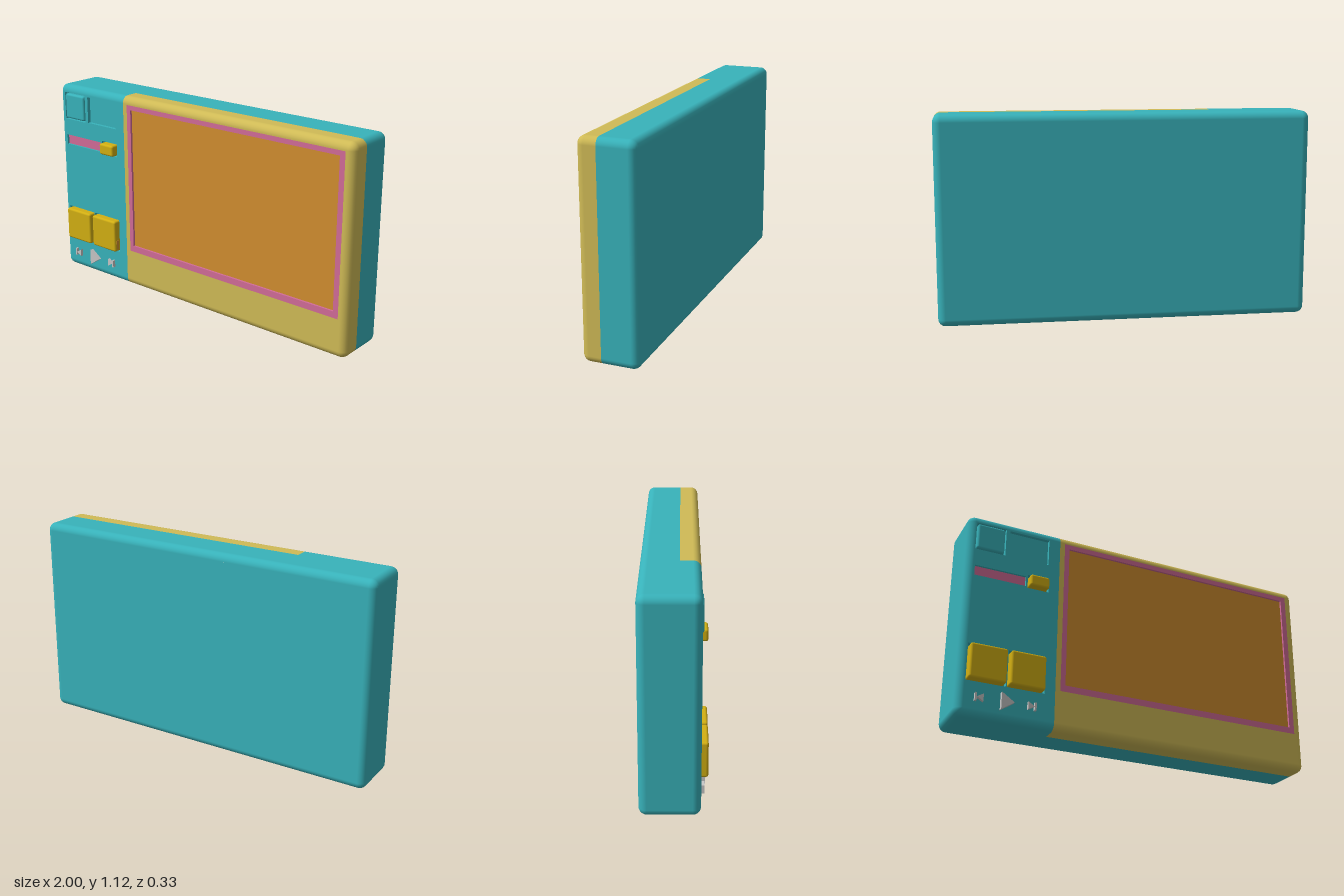
import * as THREE from 'three';
import { RoundedBoxGeometry } from 'three/addons/geometries/RoundedBoxGeometry.js';

const mat = (name, color) => {
  const m = new THREE.MeshStandardMaterial({ color });
  m.name = name;
  return m;
};

// Main dimensions
const W = 1, H = 1.12, BACK = -0.165, FRONT = 0.135, R = 0.04;
const SPLIT_X = -0.49, SPLIT_Z = 0.03;

// Rounded case shell without its front face; group 0 = case, group 1 = front panel
function shellGeometry() {
  const N = 6, ring = [];
  const corner = (x, y, start) => {
    for (let i = 0; i <= N; i++) ring.push([x, y, start + (i / N) * Math.PI / 2]);
  };
  const xr = W - R, yt = H - R, q = Math.PI / 2;
  corner(xr, yt, 0);
  ring.push([SPLIT_X, yt, q]);
  corner(-xr, yt, q);
  corner(-xr, R, 2 * q);
  ring.push([SPLIT_X, R, 3 * q]);
  corner(xr, R, 3 * q);

  const rows = [];
  for (let i = 0; i <= N; i++) rows.push([BACK + R, (i / N - 1) * q]);
  rows.push([SPLIT_Z, 0]);
  for (let i = 0; i <= N; i++) rows.push([FRONT - R, (i / N) * q]);

  const pos = [], nor = [], parts = [[], []], n = ring.length;
  for (const [z, phi] of rows) {
    for (const [x, y, t] of ring) {
      const v = [Math.cos(t) * Math.cos(phi), Math.sin(t) * Math.cos(phi), Math.sin(phi)];
      nor.push(...v);
      pos.push(x + R * v[0], y + R * v[1], z + R * v[2]);
    }
  }
  for (let j = 0; j < rows.length - 1; j++) {
    for (let i = 0; i < n; i++) {
      const k = (i + 1) % n, a = j * n + i, b = j * n + k;
      const onPanel = j > N && (ring[i][0] + ring[k][0]) / 2 > SPLIT_X;
      parts[onPanel ? 1 : 0].push(a, b, b + n, a, b + n, a + n);
    }
  }
  const g = new THREE.BufferGeometry();
  g.setAttribute('position', new THREE.Float32BufferAttribute(pos, 3));
  g.setAttribute('normal', new THREE.Float32BufferAttribute(nor, 3));
  g.setIndex([...parts[0], ...parts[1]]);
  g.addGroup(0, parts[0].length, 0);
  g.addGroup(parts[0].length, parts[1].length, 1);
  return g;
}

// Rectangles are [x0, x1, y0, y1]
const grow = ([a, b, c, d], e) => [a - e, b + e, c - e, d + e];
const polygon = (pts) => new THREE.Shape(pts.map(([x, y]) => new THREE.Vector2(x, y)));
const rectShape = ([a, b, c, d], holes = []) => {
  const s = polygon([[a, c], [b, c], [b, d], [a, d]]);
  s.holes = holes.map((h) => rectShape(h));
  return s;
};

// Open-fronted recess: an inside-out box without its lid
function pocketGeometry([a, b, c, d], depth) {
  const g = new THREE.BoxGeometry(b - a, d - c, depth);
  g.scale(1, 1, -1);
  g.setIndex(Array.from(g.index.array).slice(0, 30));
  g.groups.pop();
  g.computeVertexNormals();
  g.translate((a + b) / 2, (c + d) / 2, FRONT - depth / 2);
  return g;
}

export function createModel() {
  const teal = mat('teal case', 0x38b3bb);
  const tan = mat('tan panel', 0xd0bb56);
  const orange = mat('orange screen', 0xd18e2f);
  const pink = mat('pink trim', 0xd26c98);
  const gold = mat('gold buttons', 0xd3b013);
  const grey = mat('grey icons', 0xc6c6c6);

  const model = new THREE.Group();
  model.name = 'portablePlayer';
  const add = (name, geometry, material, z = 0) => {
    const m = new THREE.Mesh(geometry, material);
    m.name = name;
    m.position.z = z;
    model.add(m);
    return m;
  };
  const pocket = (name, rect, depth, wall, floor) =>
    add(name, pocketGeometry(rect, depth), [wall, wall, wall, wall, floor]);
  const button = (name, [a, b, c, d], top, material) => {
    const base = 0.1, g = new RoundedBoxGeometry(b - a, d - c, top - base, 3, 0.012);
    g.translate((a + b) / 2, (c + d) / 2, (top + base) / 2);
    add(name, g, material);
  };

  // Case
  const face = [-W + R, W - R, R, H - R];
  add('caseShell', shellGeometry(), [teal, tan]);
  const back = new THREE.ShapeGeometry(rectShape(face));
  back.rotateY(Math.PI);
  add('caseBack', back, teal, BACK);

  // Controls that sit in openings of the left-hand strip
  const gap = 0.006;
  const controls = [
    ['upperButton', [-0.95, -0.8, 0.925, 1.07], 0.141, teal],
    ['slider', [-0.658, -0.553, 0.765, 0.829], 0.168, gold],
    ['firstKey', [-0.95, -0.757, 0.19, 0.376], 0.168, gold],
    ['secondKey', [-0.739, -0.553, 0.19, 0.376], 0.168, gold],
  ];
  const holes = [];
  for (const [name, rect, top, material] of controls) {
    const hole = grow(rect, gap);
    holes.push(hole);
    pocket(name + 'Opening', hole, 0.03, teal, teal);
    button(name, rect, top, material);
  }

  // Shallow window and slider track
  const windowRect = [-0.773, -0.553, 0.922, 1.072], track = [-0.952, -0.674, 0.767, 0.824];
  holes.push(windowRect, track);
  pocket('smallWindow', windowRect, 0.02, teal, teal);
  pocket('sliderTrack', track, 0.012, teal, pink);
  add('controlFace', new THREE.ShapeGeometry(rectShape([face[0], SPLIT_X, face[2], face[3]], holes)), teal, FRONT);

  // Orange patch on the outer side of the second key
  const patch = new THREE.BoxGeometry(0.003, 0.055, 0.016);
  patch.translate(-0.553, 0.231, 0.147);
  add('keySidePatch', patch, orange);

  // Front panel, screen frame and sunken screen
  const frame = [-0.4625, 0.949, 0.215, 1.076], screen = [-0.436, 0.919, 0.25, 1.05];
  add('panelFace', new THREE.ShapeGeometry(rectShape([SPLIT_X, face[1], face[2], face[3]], [frame])), tan, FRONT);
  add('screenFrame', new THREE.ShapeGeometry(rectShape(frame, [screen])), pink, FRONT);
  pocket('screen', screen, 0.012, pink, orange);

  // Raised playback icons
  const icon = (name, shape, height) =>
    add(name, new THREE.ExtrudeGeometry(shape, { depth: height + 0.01, bevelEnabled: false }), grey, FRONT - 0.01);
  icon('playIcon', polygon([[-0.775, 0.055], [-0.708, 0.1], [-0.775, 0.146]]), 0.023);
  for (const [name, x, dir] of [['previousIcon', -0.886, -1], ['nextIcon', -0.613, 1]]) {
    icon(name + 'Arrow', polygon([[x - dir * 0.022, 0.08], [x + dir * 0.012, 0.101], [x - dir * 0.022, 0.122]]), 0.017);
    const bar = [x + dir * 0.012, x + dir * 0.022].sort((p, r) => p - r);
    icon(name + 'Bar', rectShape([...bar, 0.08, 0.122]), 0.017);
  }
  return model;
}
